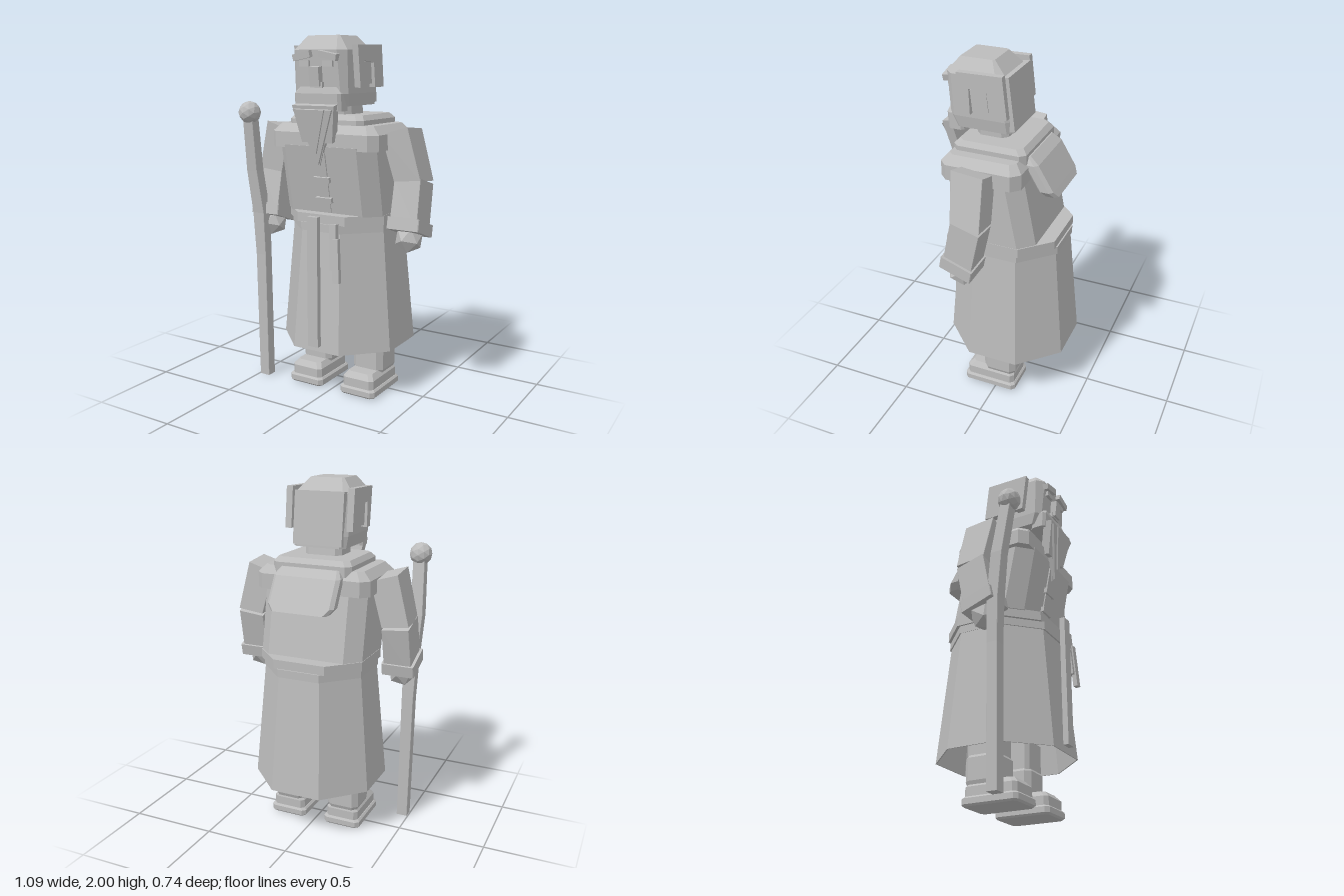
import * as THREE from 'three';

const stone = new THREE.MeshStandardMaterial({ color: 0xbcbcbc, flatShading: true });
stone.name = 'plain grey';

// Stack of chamfered-rectangle sections, bottom to top.
// Each section: [y, halfX, halfZ, cx, cz, chamfer, slopeX, slopeZ]
function loft(sections, caps = true) {
  const rings = sections.map(([y, hx, hz, cx = 0, cz = 0, ch = 0.03, sx = 0, sz = 0]) =>
    [[hx, -hz + ch], [hx, hz - ch], [hx - ch, hz], [-hx + ch, hz],
      [-hx, hz - ch], [-hx, -hz + ch], [-hx + ch, -hz], [hx - ch, -hz]]
      .map(([x, z]) => [cx + x, y + sx * x + sz * z, cz + z]));
  const out = [];
  const tri = (a, b, c) => out.push(...a, ...b, ...c);
  for (let r = 0; r < rings.length - 1; r++) {
    for (let i = 0; i < 8; i++) {
      const j = (i + 1) % 8, lo = rings[r], hi = rings[r + 1];
      tri(lo[i], hi[i], hi[j]);
      tri(lo[i], hi[j], lo[j]);
    }
  }
  if (caps) {
    const lo = rings[0], hi = rings[rings.length - 1];
    for (let i = 1; i < 7; i++) {
      tri(lo[0], lo[i], lo[i + 1]);
      tri(hi[0], hi[i + 1], hi[i]);
    }
  }
  const g = new THREE.BufferGeometry();
  g.setAttribute('position', new THREE.Float32BufferAttribute(out, 3));
  g.computeVertexNormals();
  return g;
}

function plate(points, depth) {
  const shape = new THREE.Shape(points.map(([x, y]) => new THREE.Vector2(x, y)));
  return new THREE.ExtrudeGeometry(shape, { depth, bevelEnabled: false });
}

export function createModel() {
  const model = new THREE.Group();
  const add = (name, geometry, pos = [0, 0, 0], rot = [0, 0, 0]) => {
    const m = new THREE.Mesh(geometry, stone);
    m.name = name;
    m.position.set(...pos);
    m.rotation.set(...rot);
    model.add(m);
  };
  const box = (name, size, pos, rot) => add(name, new THREE.BoxGeometry(...size), pos, rot);
  const lean = 0.2;

  // Hollow robe skirt (lining down, hem, outside up) and a two-step belt
  add('skirt', loft([
    [0.96, 0.289, 0.289, 0, -0.013, 0.17],
    [0.285, 0.349, 0.349, 0, -0.015, 0.205],
    [0.285, 0.355, 0.355, 0, -0.015, 0.208],
    [0.96, 0.295, 0.295, 0, -0.013, 0.173],
  ], false));
  add('beltLower', loft([
    [0.955, 0.298, 0.305, 0, -0.013, 0.175],
    [1.0, 0.298, 0.305, 0, -0.013, 0.175],
  ]));
  add('beltUpper', loft([
    [0.998, 0.308, 0.297, 0, -0.013, 0.155],
    [1.05, 0.308, 0.297, 0, -0.013, 0.155],
  ]));

  // Torso leaning forward, shoulder yoke and collar
  add('torso', loft([
    [1.045, 0.306, 0.225, 0, -0.005, 0.08],
    [1.42, 0.306, 0.225, 0, 0.068, 0.08],
  ]));
  add('shoulders', loft([
    [1.405, 0.335, 0.228, 0, 0.06, 0.045],
    [1.49, 0.335, 0.228, 0, 0.06, 0.045],
    [1.535, 0.29, 0.19, 0, 0.06, 0.03],
  ]));
  add('collar', loft([
    [1.505, 0.232, 0.205, 0, 0.045, 0.03],
    [1.56, 0.232, 0.205, 0, 0.045, 0.03],
    [1.587, 0.21, 0.18, 0, 0.045, 0.03],
  ]));
  add('hood', loft([
    [1.325, 0.165, 0.043, 0, -0.28, 0.02],
    [1.36, 0.195, 0.043, 0, -0.259, 0.02],
    [1.5, 0.195, 0.042, 0, -0.175, 0.02],
    [1.54, 0.17, 0.022, 0, -0.145, 0.01],
  ]));

  // Placket, toggles, hanging sash and belt tassel
  box('placket', [0.065, 0.34, 0.012], [0, 1.22, 0.255], [lean, 0, 0]);
  for (const [y, z] of [[1.24, 0.262], [1.125, 0.24]]) {
    box('toggle', [0.1, 0.03, 0.03], [0, y, z], [lean, 0, 0]);
  }
  box('sash', [0.065, 0.73, 0.03], [0, 0.685, 0.355]);
  box('tassel', [0.04, 0.25, 0.03], [0.115, 0.89, 0.33], [-0.06, 0, 0.05]);
  box('tassel', [0.04, 0.24, 0.025], [0.137, 0.82, 0.345], [-0.06, 0, 0.07]);

  // Neck and head
  add('neck', loft([
    [1.56, 0.11, 0.09, 0, 0.075], [1.68, 0.11, 0.09, 0, 0.09],
  ]));
  add('head', loft([
    [1.635, 0.155, 0.165, 0, 0.105, 0.03],
    [1.7, 0.165, 0.175, 0, 0.12, 0.03],
    [1.925, 0.165, 0.165, 0, 0.15, 0.04],
    [2.0, 0.1, 0.095, 0, 0.155, 0.01],
  ]));
  box('backHair', [0.29, 0.29, 0.04], [0, 1.79, -0.035], [lean * 0.6, 0, 0]);

  // Face
  box('nose', [0.06, 0.1, 0.05], [0, 1.79, 0.315], [lean * 0.6, 0, 0]);
  box('mouth', [0.075, 0.03, 0.03], [0, 1.745, 0.305]);
  add('moustache', loft([
    [1.61, 0.145, 0.045, 0, 0.27, 0.015],
    [1.7, 0.145, 0.045, 0, 0.275, 0.015],
    [1.735, 0.115, 0.03, 0, 0.28, 0.015],
  ]));
  add('beardBack', plate(
    [[-0.13, 0.33], [-0.095, 0.13], [-0.05, 0.13], [0, 0.0], [0.05, 0.13], [0.095, 0.13], [0.13, 0.33]],
    0.05), [0, 1.325, 0.24], [lean, 0, 0]);
  add('beardFront', plate([[-0.12, 0.3], [0, 0], [0.12, 0.3]], 0.03), [0, 1.33, 0.275], [lean, 0, 0]);
  add('beardRidge', plate([[-0.08, 0.24], [0, 0], [0.08, 0.24]], 0.012), [0, 1.385, 0.314], [lean, 0, 0]);

  // Mirrored parts
  for (const s of [-1, 1]) {
    const side = s < 0 ? 'right' : 'left';
    box(side + 'Brow', [0.108, 0.035, 0.04], [s * 0.08, 1.895, 0.32], [0.1, 0, -s * 0.2]);
    box(side + 'Eye', [0.06, 0.03, 0.02], [s * 0.073, 1.855, 0.315]);

    // Side hair arching over the ear
    add(side + 'SideHair', plate(
      [[-0.05, 1.73], [0.045, 1.73], [0.06, 1.86], [0.16, 1.87], [0.155, 1.73],
        [0.2, 1.73], [0.228, 1.95], [-0.025, 1.955]],
      0.037), [s * 0.182 + 0.0185, 0, 0], [0, -Math.PI / 2, 0]);
    box(side + 'Ear', [0.03, 0.12, 0.09], [s * 0.172, 1.805, 0.108], [0.1, 0, 0]);

    // Arms
    add(side + 'UpperArm', loft([
      [1.235, 0.077, 0.082, s * 0.445, 0.05, 0.002, s * 0.12, 0.1],
      [1.5, 0.077, 0.088, s * 0.373, 0.062, 0.002, s * 0.3, 0.1],
    ]));
    add(side + 'Forearm', loft([
      [0.98, 0.08, 0.078, s * 0.448, 0.105, 0.002, 0, 0.38],
      [1.235, 0.077, 0.08, s * 0.445, 0.05, 0.002, s * 0.1, 0.3],
    ]));
    add(side + 'Cuff', loft([
      [0.965, 0.093, 0.088, s * 0.45, 0.108, 0.004, 0, 0.36],
      [1.03, 0.093, 0.088, s * 0.45, 0.095, 0.004, 0, 0.36],
    ]));
    add(side + 'Hand', new THREE.IcosahedronGeometry(0.08, 0), [s * 0.448, 0.935, 0.105], [0.55, 0, 0.15]);

    // Boots and legs
    const x = s * 0.173;
    add(side + 'Sole', loft([
      [0, 0.102, 0.152, x, 0.038, 0.018], [0.01, 0.112, 0.162, x, 0.038, 0.02],
      [0.04, 0.112, 0.162, x, 0.038, 0.02], [0.05, 0.102, 0.152, x, 0.038, 0.02],
    ]));
    add(side + 'Shoe', loft([
      [0.045, 0.098, 0.15, x, 0.038, 0.02], [0.1, 0.098, 0.15, x, 0.038, 0.02],
      [0.13, 0.075, 0.13, x, 0.03, 0.02],
    ]));
    add(side + 'Boot', loft([
      [0.1, 0.085, 0.088, x, -0.017, 0.02], [0.13, 0.097, 0.1, x, -0.017, 0.03],
      [0.25, 0.097, 0.1, x, -0.017, 0.03], [0.272, 0.083, 0.085, x, -0.017, 0.02],
    ]));
    add(side + 'Leg', loft([
      [0.26, 0.088, 0.09, x, -0.017, 0.02], [0.42, 0.088, 0.09, x, -0.017, 0.02],
    ]));
  }

  // Crooked staff with a faceted knob
  add('staff', loft([
    [0, 0.032, 0.03, -0.462, 0.18, 0.002],
    [0.75, 0.034, 0.03, -0.471, 0.18, 0.002],
    [1.0, 0.038, 0.033, -0.478, 0.185, 0.002],
    [1.25, 0.035, 0.033, -0.495, 0.215, 0.002],
    [1.56, 0.033, 0.03, -0.483, 0.262, 0.002],
  ]));
  add('staffKnob', new THREE.IcosahedronGeometry(0.064, 1), [-0.483, 1.585, 0.268]);

  return model;
}
